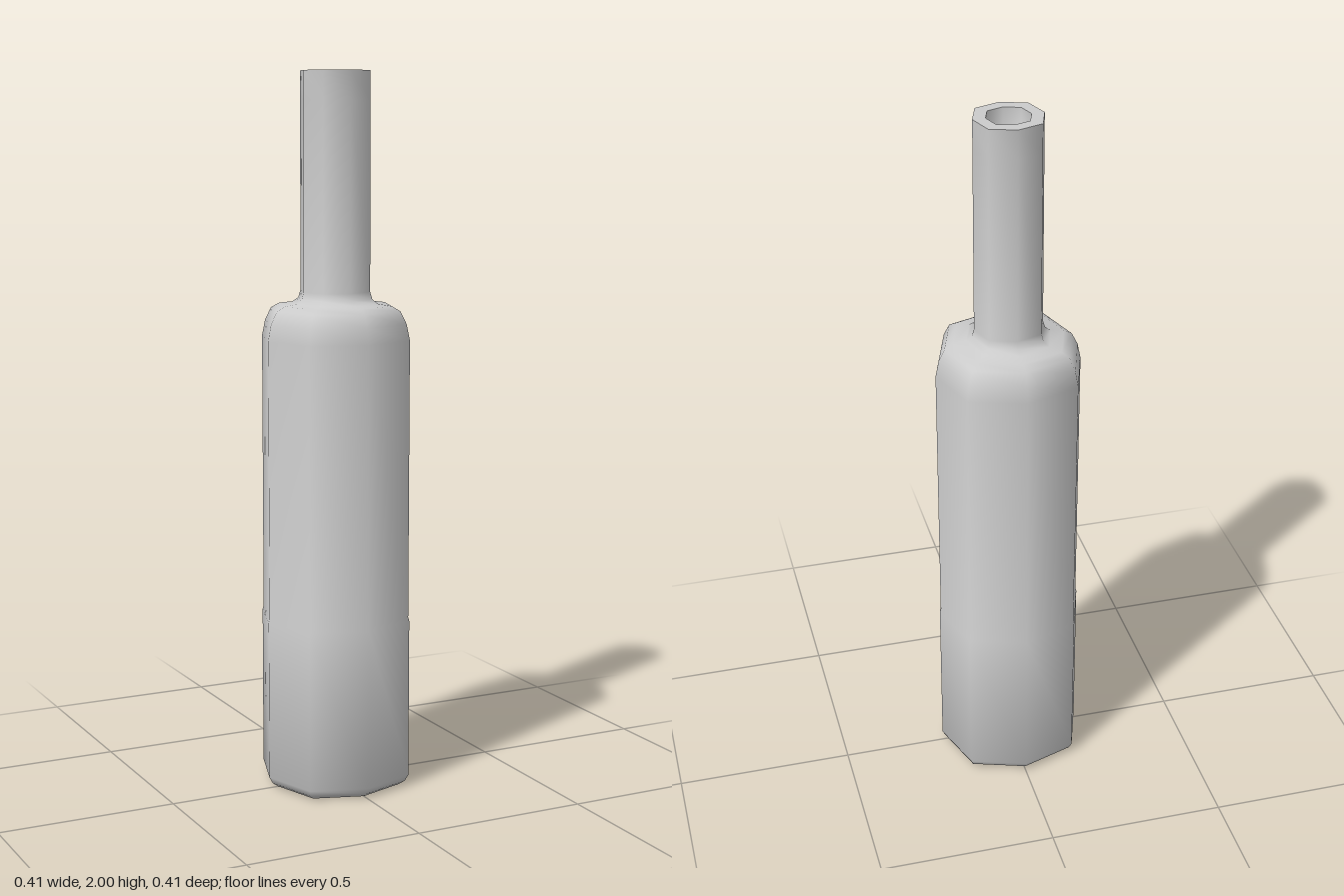
import * as THREE from 'three';
import { toCreasedNormals } from 'three/addons/utils/BufferGeometryUtils.js';

const SIDES = 8;
const DIAGONAL = 1.06; // the diagonal corners stand slightly further out

// Eight-sided turned shape from [radius, height] pairs
function turned(name, profile) {
  const lathe = new THREE.LatheGeometry(profile.map(([r, y]) => new THREE.Vector2(r, y)), SIDES);
  const pos = lathe.attributes.position;
  for (let i = 0; i < pos.count; i++) {
    const x = pos.getX(i), z = pos.getZ(i);
    if (Math.min(Math.abs(x), Math.abs(z)) > 0.001) pos.setXYZ(i, x * DIAGONAL, pos.getY(i), z * DIAGONAL);
  }
  const material = new THREE.MeshStandardMaterial({ color: 0xcccccc, side: THREE.DoubleSide });
  const mesh = new THREE.Mesh(toCreasedNormals(lathe, THREE.MathUtils.degToRad(60)), material);
  mesh.name = name;
  return mesh;
}

export function createModel() {
  const bottle = new THREE.Group();
  bottle.name = 'bottle';

  // Base, body, rounded shoulder, neck, and the lip
  bottle.add(turned('bottleGlass', [
    [0, 0.005], [0.15, 0.005], [0.18, 0], [0.197, 0.012], [0.207, 0.03],
    [0.207, 0.48], [0.204, 0.49], [0.204, 1.27],
    [0.195, 1.315], [0.178, 1.35], [0.155, 1.363], [0.118, 1.368],
    [0.102, 1.38], [0.096, 1.4], [0.095, 1.92], [0.095, 2], [0.06, 2],
  ]));

  // Hollow inside the mouth, closed by a shallow bowl
  bottle.add(turned('mouthHollow', [
    [0.06, 2], [0.058, 1.92], [0.035, 1.89], [0, 1.88],
  ]));

  return bottle;
}
